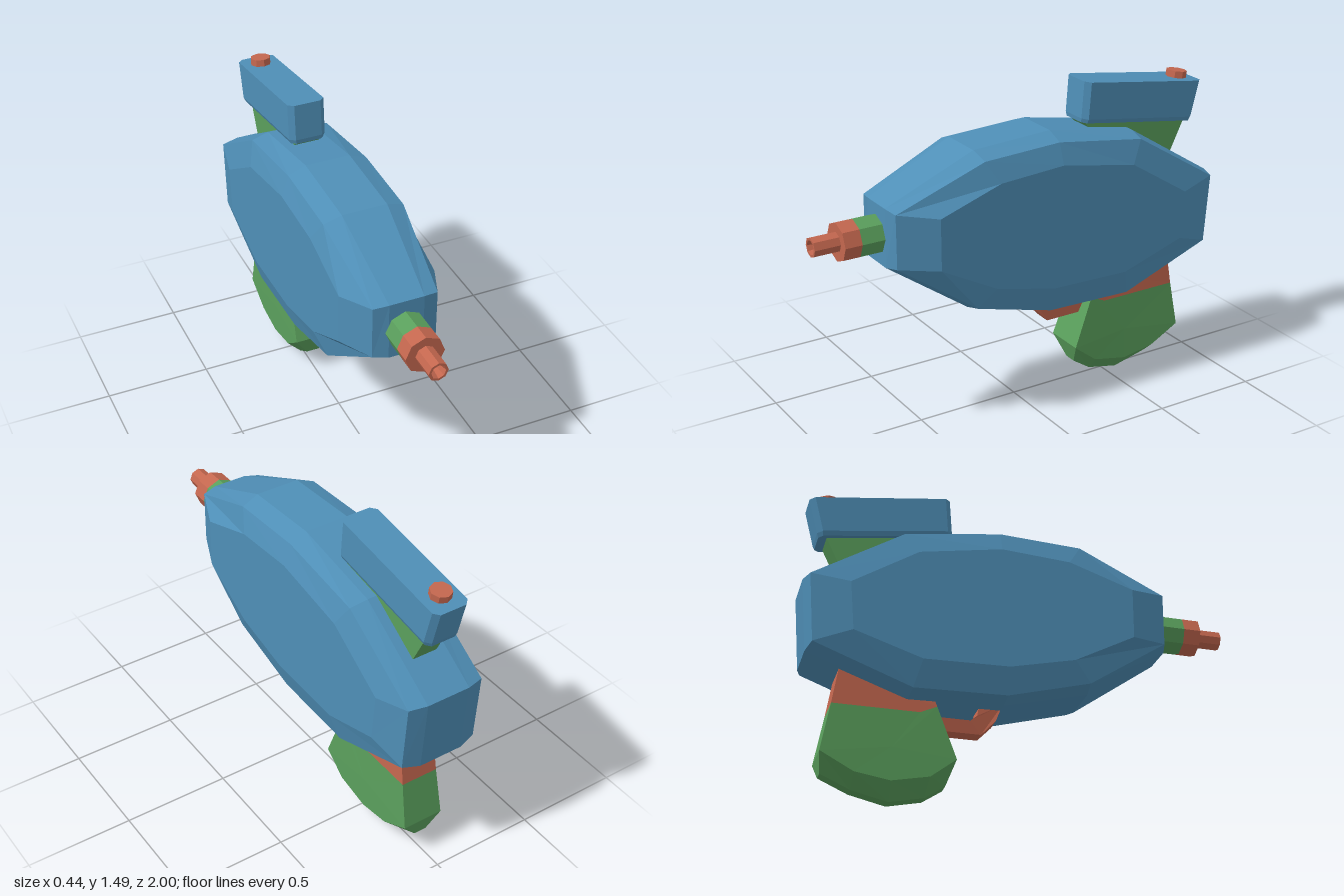
import * as THREE from 'three';

const mat = (name, color) => {
  const m = new THREE.MeshStandardMaterial({ color });
  m.name = name;
  return m;
};

// Skin a stack of equal-length 3D loops and close both ends, faceted.
function loft(rings) {
  const tris = [];
  const n = rings[0].length;
  for (let r = 0; r < rings.length - 1; r++) {
    for (let i = 0; i < n; i++) {
      const j = (i + 1) % n;
      const [a, b, c, d] = [rings[r][i], rings[r][j], rings[r + 1][j], rings[r + 1][i]];
      tris.push([a, b, c], [a, c, d]);
    }
  }
  const cap = (ring, flip) => {
    const mid = [0, 1, 2].map(k => ring.reduce((s, p) => s + p[k], 0) / n);
    for (let i = 0; i < n; i++) {
      const j = (i + 1) % n;
      tris.push(flip ? [mid, ring[j], ring[i]] : [mid, ring[i], ring[j]]);
    }
  };
  cap(rings[0], true);
  cap(rings[rings.length - 1], false);
  // Turn the surface outward if its signed volume is negative
  const v = p => new THREE.Vector3(...p);
  const volume = tris.reduce((s, [a, b, c]) => s + v(a).dot(v(b).cross(v(c))), 0);
  if (volume < 0) tris.forEach(t => t.reverse());
  const geo = new THREE.BufferGeometry();
  geo.setAttribute('position', new THREE.Float32BufferAttribute(tris.flat(2), 3));
  geo.computeVertexNormals();
  return geo;
}

// Loop in the side plane: [z, y] points at x, where x may vary per point
const sideLoop = (pts, x) => pts.map(([z, y], i) => [typeof x === 'function' ? x(z, y, i) : x, y, z]);

// Side profile of [z, y] points extruded across x
function slab(pts, width) {
  const shape = new THREE.Shape(pts.map(([z, y]) => new THREE.Vector2(-z, y)));
  const geo = new THREE.ExtrudeGeometry(shape, { depth: width, bevelEnabled: false });
  return geo.translate(0, 0, -width / 2).rotateY(Math.PI / 2);
}

function faceted(geo) {
  const g = geo.index ? geo.toNonIndexed() : geo;
  g.computeVertexNormals();
  return g;
}

export function createModel() {
  const blue = mat('blue', 0x4f8fb7);
  const green = mat('green', 0x5a9f5c);
  const red = mat('red', 0xc4674f);
  const group = new THREE.Group();
  const add = (name, geo, material) => {
    const mesh = new THREE.Mesh(geo, material);
    mesh.name = name;
    group.add(mesh);
    return mesh;
  };

  // Body: a faceted egg outline stepping in over three loops per side
  const rim = [[0.69, 1.11], [0.27, 1.30], [-0.12, 1.32], [-0.57, 1.24], [-0.998, 0.97],
    [-0.97, 0.625], [-0.51, 0.46], [-0.08, 0.472], [0.31, 0.57], [0.695, 0.84]];
  const shoulder = [[0.675, 1.10], [0.26, 1.27], [-0.12, 1.287], [-0.56, 1.222], [-0.975, 0.965],
    [-0.95, 0.64], [-0.505, 0.475], [-0.08, 0.487], [0.30, 0.59], [0.675, 0.85]];
  const flank = [[0.5, 1.07], [0.2, 1.17], [-0.12, 1.19], [-0.5, 1.12], [-0.8, 0.93],
    [-0.78, 0.70], [-0.47, 0.60], [-0.08, 0.61], [0.22, 0.68], [0.5, 0.83]];
  const rimX = z => (z > 0.6 ? 0.08 : 0.105);
  const shoulderX = z => (z > 0.6 ? 0.148 : 0.187);
  add('body', loft([
    sideLoop(flank, -0.222), sideLoop(shoulder, z => -shoulderX(z)), sideLoop(rim, z => -rimX(z)),
    sideLoop(rim, rimX), sideLoop(shoulder, shoulderX), sideLoop(flank, 0.222),
  ]), blue);

  // Barrel: octagonal collar in two colours
  for (const [name, z0, z1, m] of [['barrelBase', 0.64, 0.8, green], ['barrelCollar', 0.8, 0.88, red]]) {
    const geo = new THREE.CylinderGeometry(0.089, 0.089, z1 - z0, 8).rotateX(Math.PI / 2);
    add(name, faceted(geo), m).position.set(-0.006, 0.97, (z0 + z1) / 2);
  }
  // Hollow muzzle with a green core
  const muzzle = [[0.045, 0.87], [0.045, 1], [0.034, 1], [0.022, 0.95]].map(p => new THREE.Vector2(...p));
  add('muzzle', faceted(new THREE.LatheGeometry(muzzle, 8).rotateX(Math.PI / 2)), red).position.set(-0.006, 0.972, 0);
  add('muzzleCore', new THREE.CircleGeometry(0.024, 8), green).position.set(-0.006, 0.972, 0.952);

  // Sight: tilted block with cut corners and a bevelled underside
  const sightLoop = (zf, yf, zb, yb, w, cut) => {
    const at = (x, z) => [x - 0.004, yf + (yb - yf) * (z - zf) / (zb - zf), z];
    return [at(-w + cut, zf), at(w - cut, zf), at(w, zf - cut), at(w, zb + cut),
      at(w - cut, zb), at(-w + cut, zb), at(-w, zb + cut), at(-w, zf - cut)];
  };
  add('sight', loft([
    sightLoop(-0.333, 1.495, -0.985, 1.4, 0.087, 0.024),
    sightLoop(-0.32, 1.325, -0.942, 1.232, 0.087, 0.024),
    sightLoop(-0.322, 1.305, -0.935, 1.212, 0.078, 0.02),
  ]), blue);
  add('sightBracket', slab([[-0.33, 1.31], [-0.9, 1.225], [-0.79, 1.0], [-0.5, 1.12]], 0.12), green);
  const button = add('sightButton', faceted(new THREE.CylinderGeometry(0.048, 0.048, 0.06, 8)), red);
  button.position.set(-0.006, 1.415, -0.895);
  button.rotation.x = -0.145;

  // Grip: red neck running into the body
  const neck = [[-0.375, 0.44], [-0.45, 0.405], [-0.84, 0.405], [-0.8, 0.66], [-0.42, 0.56]];
  const neckX = (z, y) => (y > 0.5 ? 0.083 : 0.09);
  add('gripNeck', loft([sideLoop(neck, (z, y) => -neckX(z, y)), sideLoop(neck, neckX)]), red);

  // Grip: green handle with a chamfered, rounded foot
  const top = [[-0.375, 0.44], [-0.45, 0.405], [-0.84, 0.405], [-0.88, 0.18]];
  const outer = [...top, [-0.88, 0.18], [-0.73, 0.1], [-0.57, 0.075], [-0.4, 0.11], [-0.285, 0.2], [-0.285, 0.2]];
  const keel = [...top, [-0.865, 0.1], [-0.73, 0.04], [-0.565, 0.002], [-0.41, 0.035], [-0.32, 0.095], [-0.285, 0.2]];
  const outerX = (z, y) => (y > 0.3 ? 0.09 : 0.098);
  add('gripHandle', loft([
    sideLoop(outer, (z, y) => -outerX(z, y)), sideLoop(keel, -0.03),
    sideLoop(keel, 0.03), sideLoop(outer, outerX),
  ]), green);

  // Trigger guard: bent bar, narrowing towards the bottom
  const guard = slab([[-0.07, 0.5], [-0.1, 0.42], [-0.165, 0.35], [-0.4, 0.35], [-0.4, 0.41],
    [-0.215, 0.41], [-0.185, 0.435], [-0.175, 0.5]], 0.09);
  const p = guard.attributes.position;
  for (let i = 0; i < p.count; i++) {
    const t = THREE.MathUtils.clamp((p.getY(i) - 0.35) / 0.07, 0, 1);
    p.setX(i, p.getX(i) * (0.78 + 0.22 * t) - 0.004);
  }
  add('triggerGuard', faceted(guard), red);

  return group;
}
